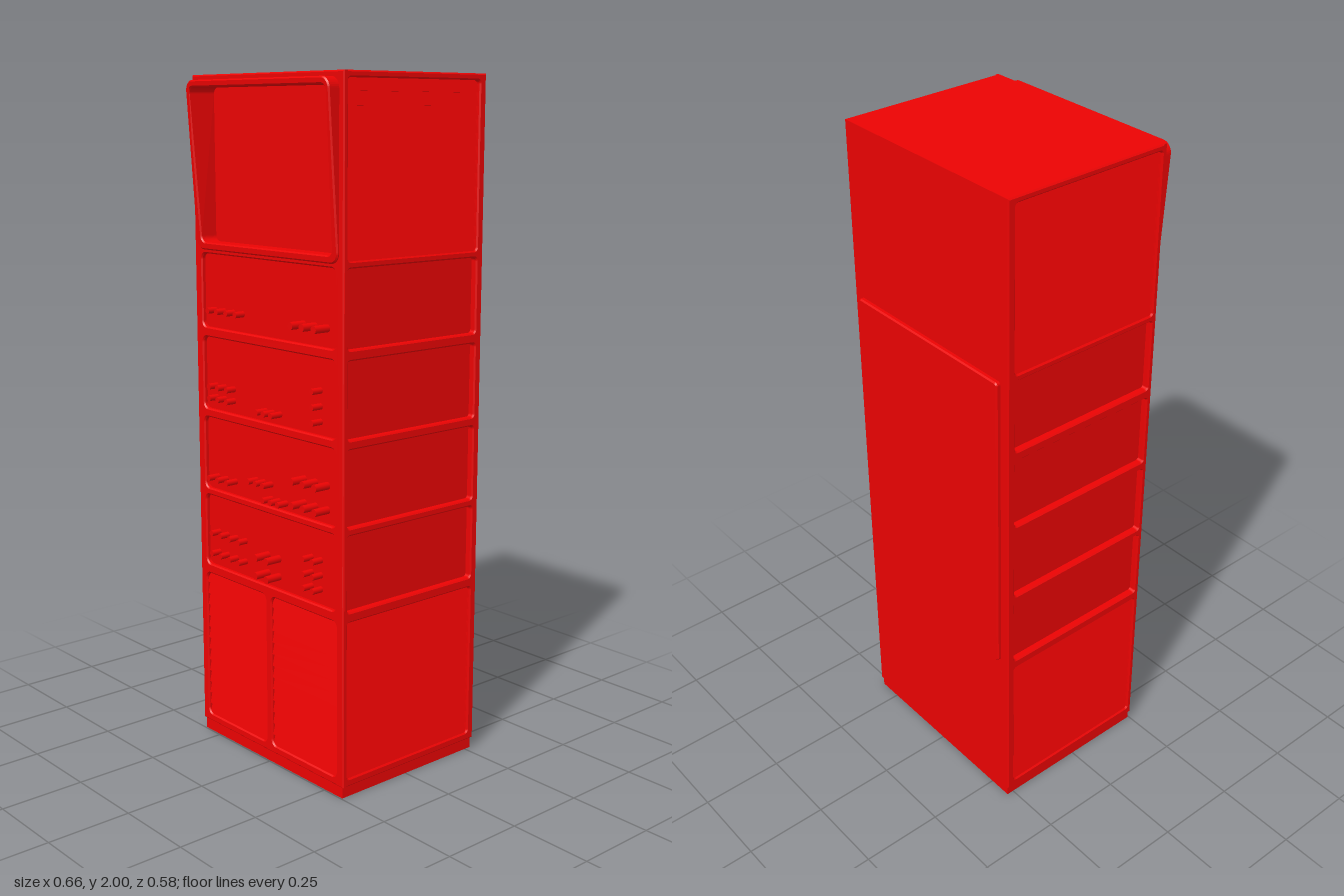
import * as THREE from 'three';

const material = new THREE.MeshStandardMaterial({ color: 0xeb0303 });
const BEVEL = 0.004;

// Sharp rectangle for the outline of a frame
function rect(x0, x1, y0, y1) {
  const s = new THREE.Shape();
  s.moveTo(x0, y0);
  s.lineTo(x1, y0);
  s.lineTo(x1, y1);
  s.lineTo(x0, y1);
  return s;
}

// Rounded rectangle, as a hole Path or as a Shape
function roundRect(x0, x1, y0, y1, r, Type = THREE.Path) {
  const p = new Type();
  p.moveTo(x0 + r, y0);
  p.lineTo(x1 - r, y0);
  p.absarc(x1 - r, y0 + r, r, -Math.PI / 2, 0);
  p.lineTo(x1, y1 - r);
  p.absarc(x1 - r, y1 - r, r, 0, Math.PI / 2);
  p.lineTo(x0 + r, y1);
  p.absarc(x0 + r, y1 - r, r, Math.PI / 2, Math.PI);
  p.lineTo(x0, y0 + r);
  p.absarc(x0 + r, y0 + r, r, Math.PI, Math.PI * 1.5);
  return p;
}

// Chamfered slab with holes, from z = 0 to z = thickness
function slab(shape, holes, thickness) {
  shape.holes.push(...holes);
  const g = new THREE.ExtrudeGeometry(shape, {
    depth: thickness - 2 * BEVEL, bevelEnabled: true, bevelSegments: 1,
    bevelSize: BEVEL, bevelThickness: BEVEL, bevelOffset: -BEVEL, curveSegments: 5,
  });
  return g.translate(0, 0, BEVEL);
}

// Bank of shingled slats: faces +x, runs along z, rises from y = 0
function louvres(length, height, count, depth) {
  const s = new THREE.Shape();
  const pitch = height / count;
  s.moveTo(0, 0);
  for (let i = 0; i < count; i++) {
    s.lineTo(depth, i * pitch);
    s.lineTo(depth * 0.35, (i + 1) * pitch);
  }
  s.lineTo(0, height);
  const g = new THREE.ExtrudeGeometry(s, { depth: length, bevelEnabled: false });
  return g.translate(0, 0, -length / 2);
}

export function createModel() {
  const model = new THREE.Group();
  model.name = 'equipmentCabinet';

  const add = (name, geometry, x = 0, y = 0, z = 0, turn = 0, parent = model) => {
    const mesh = new THREE.Mesh(geometry, material);
    mesh.name = name;
    mesh.position.set(x, y, z);
    mesh.rotation.y = turn;
    parent.add(mesh);
  };
  const addBox = (name, x0, x1, y0, y1, z0, z1) =>
    add(name, new THREE.BoxGeometry(x1 - x0, y1 - y0, z1 - z0),
      (x0 + x1) / 2, (y0 + y1) / 2, (z0 + z1) / 2);

  // Plinth, core, roof and back panel
  addBox('plinth', -0.323, 0.323, 0, 0.04, -0.272, 0.246);
  addBox('lowerCore', -0.31, 0.31, 0.033, 1.505, -0.277, 0.237);
  addBox('upperCore', -0.31, 0.31, 1.505, 1.99, -0.277, 0.2);
  addBox('roof', -0.326, 0.326, 1.985, 2, -0.277, 0.246);
  const back = slab(roundRect(-0.3, 0.3, 0.548, 1.49, 0.01, THREE.Shape), [], 0.02);
  add('backPanel', back, 0, 0, -0.27, Math.PI);

  // Heights of the four equipment bays, the louvred base and the screen bay
  const bays = [[0.545, 0.77], [0.785, 1.01], [1.03, 1.252], [1.275, 1.497]];
  const base = [0.053, 0.522];
  const top = [1.51, 1.985];

  // Front frame
  const doors = [[-0.305, -0.009], [0.009, 0.305]];
  const frontHoles = [
    ...bays.map(([a, b]) => roundRect(-0.298, 0.298, a + 0.003, b - 0.003, 0.018)),
    ...doors.map(([a, b]) => roundRect(a + 0.004, b - 0.004, base[0] + 0.004, base[1] - 0.004, 0.018)),
    roundRect(-0.303, 0.303, 1.512, 1.98, 0.025),
  ];
  add('frontFrame', slab(rect(-0.33, 0.33, 0.033, 2), frontHoles, 0.017), 0, 0, 0.233);

  // Louvred doors
  for (const [a, b] of doors) {
    add('louvredDoor', louvres(b - a, base[1] - base[0], 13, 0.013),
      (a + b) / 2, base[0], 0.233, -Math.PI / 2);
  }

  // Side frames and side louvres
  for (const s of [1, -1]) {
    const edge = (z0, z1) => [-s * z0, -s * z1].sort((a, b) => a - b);
    const holes = [base, ...bays, top].map(([a, b]) =>
      roundRect(...edge(-0.252, 0.234), a + 0.003, b - 0.003, 0.01));
    const side = s > 0 ? 'left' : 'right';
    add(side + 'SideFrame', slab(rect(...edge(-0.277, 0.245), 0.033, 2), holes, 0.025),
      s * 0.305, 0, 0, s * Math.PI / 2);
    for (const [a, b] of [base, top]) {
      add(side + 'SideLouvres', louvres(0.5, b - a, 13, 0.018),
        s * 0.308, a, -0.01, s > 0 ? 0 : Math.PI);
    }
  }

  // Screen hood: rounded ring whose front leans out toward the top,
  // with an opening that flares as the hood gets deeper
  const hood = slab(roundRect(-0.312, 0.312, 1.505, 1.985, 0.03, THREE.Shape),
    [roundRect(-0.288, 0.288, 1.527, 1.965, 0.018)], 0.056);
  const p = hood.attributes.position;
  for (let i = 0; i < p.count; i++) {
    const x = p.getX(i), y = p.getY(i), z = p.getZ(i);
    if (z < 0.03) continue;
    const rise = (y - 1.505) / 0.48;
    p.setZ(i, z + rise * 0.033);
    if (Math.abs(x) < 0.296 && y > 1.515 && y < 1.975) p.setX(i, x * (1 + 0.035 * rise));
  }
  hood.computeVertexNormals();
  add('screenHood', hood, 0, 0, 0.199);
  addBox('screen', -0.295, 0.295, 1.52, 1.975, 0.195, 0.203);

  // Knobs: [x positions, y positions, radius, front z]
  const small = 0.009, large = 0.011;
  const knobs = [
    [[-0.25, -0.208, -0.164, -0.12], [1.33], small, 0.268],
    [[0.152, 0.2, 0.25], [1.33], large, 0.287],
    [[-0.25, -0.21, -0.167], [1.105, 1.07], small, 0.268],
    [[-0.018, 0.014, 0.047], [1.063], small, 0.275],
    [[0.222], [1.157, 1.113, 1.07], small, 0.272],
    [[-0.25, -0.208, -0.164], [0.828], small, 0.275],
    [[-0.064, -0.03, 0.004], [0.852], small, 0.272],
    [[0.004, 0.038, 0.071], [0.809], small, 0.272],
    [[0.152, 0.2, 0.25], [0.896, 0.827], large, 0.287],
    [[-0.25, -0.208, -0.164, -0.12], [0.655, 0.592], small, 0.268],
    [[-0.014, 0.036], [0.637, 0.583], large, 0.287],
    [[0.182, 0.222], [0.677, 0.633, 0.592], small, 0.272],
  ];
  const knobGroup = new THREE.Group();
  knobGroup.name = 'knobs';
  model.add(knobGroup);
  for (const [xs, ys, r, z1] of knobs) {
    const length = z1 - 0.23;
    const g = new THREE.CylinderGeometry(r, r, length, 12).rotateX(Math.PI / 2);
    for (const x of xs) for (const y of ys) add('knob', g, x, y, 0.23 + length / 2, 0, knobGroup);
  }

  return model;
}
